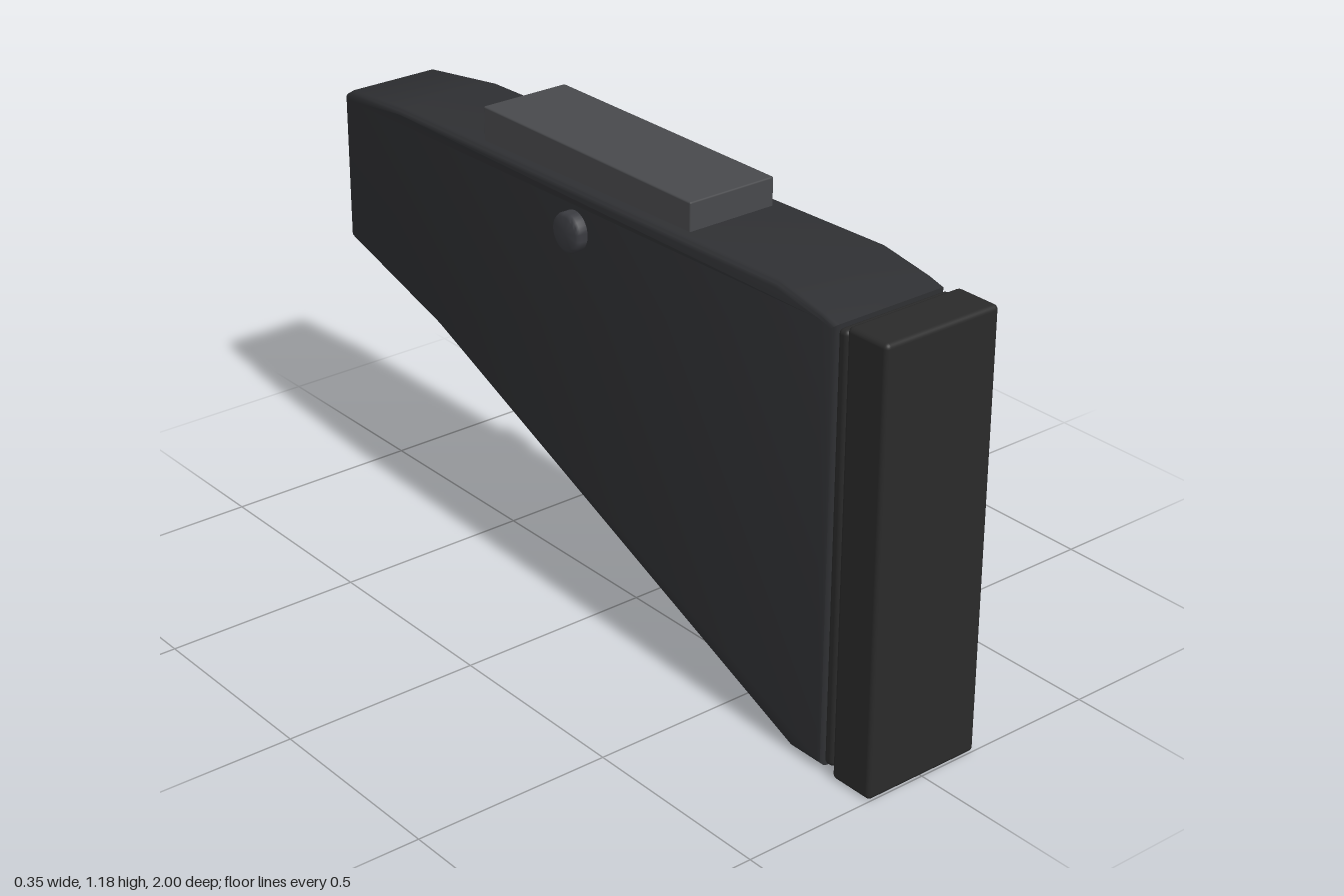
import * as THREE from 'three';
import { toCreasedNormals } from 'three/addons/utils/BufferGeometryUtils.js';
import { RoundedBoxGeometry } from 'three/addons/geometries/RoundedBoxGeometry.js';

const paint = (color) => new THREE.MeshStandardMaterial({ color });

export function createModel() {
  const group = new THREE.Group();
  const add = (name, geometry, material, x, y, z) => {
    const mesh = new THREE.Mesh(geometry, material);
    mesh.name = name;
    mesh.position.set(x, y, z);
    group.add(mesh);
    return mesh;
  };
  const bodyPaint = paint(0x2f3033);
  const padPaint = paint(0x2a2a2a);
  const railPaint = paint(0x48494c);
  const pinPaint = paint(0x3a3b40);

  // Body: side profile (z, y) extruded across x with rounded edges
  const profile = [
    [0.845, 0.01], [0.845, 1.085], [0.8, 1.097], [0.66, 1.12], [-0.73, 1.09],
    [-0.97, 1.062], [-0.998, 1.045], [-0.998, 0.662], [-0.58, 0.57], [0.74, 0.01],
  ].map(([z, y]) => new THREE.Vector2(z, y));
  const bevel = 0.015, half = 0.158;
  const body = new THREE.ExtrudeGeometry(new THREE.Shape(profile), {
    depth: 2 * (half - bevel), bevelEnabled: true, bevelSize: bevel,
    bevelThickness: bevel, bevelOffset: -bevel, bevelSegments: 3,
  });
  body.translate(0, 0, bevel - half);
  body.rotateY(-Math.PI / 2);
  // Narrow the body toward its rear end
  const p = body.attributes.position;
  for (let i = 0; i < p.count; i++) {
    const t = THREE.MathUtils.clamp((-0.57 - p.getZ(i)) / 0.43, 0, 1);
    p.setX(i, p.getX(i) * (1 - 0.18 * t));
  }
  add('body', toCreasedNormals(body, 0.6), bodyPaint, 0, 0, 0);

  // End pad and the thin spacer in front of the body
  add('buttPad', new RoundedBoxGeometry(0.32, 1.096, 0.12, 3, 0.012), padPaint, 0, 0.549, 0.94);
  add('spacer', new RoundedBoxGeometry(0.308, 1.06, 0.03, 3, 0.012), padPaint, 0, 0.55, 0.861);

  // Raised block on the top edge
  add('topRail', new RoundedBoxGeometry(0.24, 0.12, 0.755, 2, 0.004), railPaint, 0, 1.122, -0.043);

  // Round pin heads on both sides
  const head = new THREE.LatheGeometry([
    [0.049, 0], [0.049, 0.028], [0.046, 0.034], [0.04, 0.037], [0, 0.037],
  ].map(([r, y]) => new THREE.Vector2(r, y)), 32);
  const headGeometry = toCreasedNormals(head, 0.7);
  for (const side of [1, -1]) {
    const pin = add(side > 0 ? 'leftPin' : 'rightPin', headGeometry, pinPaint, side * 0.14, 1, -0.04);
    pin.rotation.z = -side * Math.PI / 2;
  }
  return group;
}
